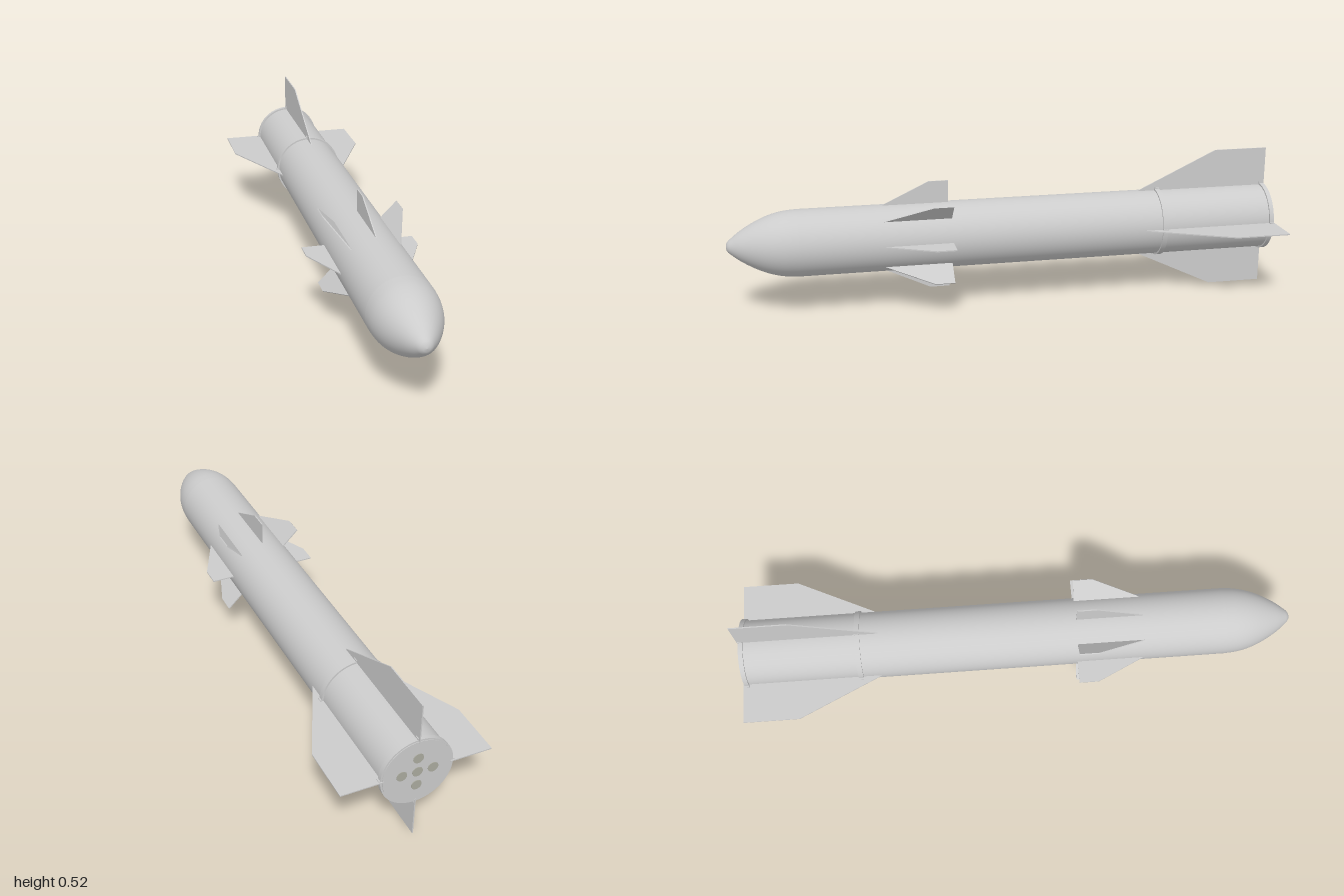
import * as THREE from 'three';

const material = new THREE.MeshStandardMaterial({ color: 0xcccccc });
const nozzleMaterial = new THREE.MeshStandardMaterial({ color: 0xaaaa9e });

const CENTRE_Y = 0.263;
const RADIUS = 0.12;

function addMesh(parent, name, geometry, mat = material) {
  const mesh = new THREE.Mesh(geometry, mat);
  mesh.name = name;
  parent.add(mesh);
  return mesh;
}

// Cylinder lying along z between two stations
function barrel(radius, zBack, zFront) {
  return new THREE.CylinderGeometry(radius, radius, zFront - zBack, 64)
    .rotateX(Math.PI / 2)
    .translate(0, 0, (zBack + zFront) / 2);
}

// Flat fin standing up from the axis; outline points are [z, radius]
function finGeometry(outline, thickness) {
  const shape = new THREE.Shape(outline.map(([z, r]) => new THREE.Vector2(-z, r)));
  return new THREE.ExtrudeGeometry(shape, { depth: thickness, bevelEnabled: false })
    .translate(0, 0, -thickness / 2)
    .rotateY(Math.PI / 2);
}

// Repeat a geometry evenly around the long axis
function addAround(parent, name, geometry, count) {
  for (let i = 0; i < count; i++) {
    addMesh(parent, name, geometry).rotation.z = (i * 2 * Math.PI) / count;
  }
}

export function createModel() {
  const model = new THREE.Group();
  model.name = 'missile';
  const hull = new THREE.Group();
  hull.name = 'hull';
  hull.position.y = CENTRE_Y;
  model.add(hull);

  // Main tube
  addMesh(hull, 'body', barrel(RADIUS, -0.998, 0.75));

  // Curved nose with a small blunt tip
  const noseCurve = new THREE.SplineCurve([
    [0.12, 0.75], [0.116, 0.8], [0.104, 0.85], [0.083, 0.9], [0.054, 0.95], [0.027, 0.985],
  ].map(([r, z]) => new THREE.Vector2(r, z)));
  const profile = [
    ...noseCurve.getPoints(24),
    new THREE.Vector2(0.021, 0.992),
    new THREE.Vector2(0.012, 0.998),
    new THREE.Vector2(0, 1),
  ];
  addMesh(hull, 'nose', new THREE.LatheGeometry(profile, 64).rotateX(Math.PI / 2));

  // Eight forward fins
  const canard = finGeometry([[0.45, 0.115], [0.45, 0.12], [0.28, 0.2], [0.21, 0.2], [0.21, 0.115]], 0.004);
  addAround(hull, 'forwardFin', canard, 8);

  // Four large tail fins
  const tailFin = finGeometry([[-0.5, 0.115], [-0.5, 0.12], [-0.8, 0.262], [-1, 0.262], [-1, 0.115]], 0.004);
  addAround(hull, 'tailFin', tailFin, 4);

  // Clamp rings, each with a lug at every tail fin
  for (const [zBack, zFront] of [[-0.584, -0.566], [-0.996, -0.98]]) {
    addMesh(hull, 'clampRing', barrel(0.126, zBack, zFront));
    const lug = new THREE.BoxGeometry(0.01, 0.014, zFront - zBack)
      .translate(0, 0.124, (zBack + zFront) / 2);
    addAround(hull, 'finLug', lug, 4);
  }

  // Five exhaust ports on the rear face
  const port = new THREE.CylinderGeometry(0.018, 0.018, 0.004, 32).rotateX(Math.PI / 2);
  for (const [x, y] of [[0, 0], [0.054, 0], [-0.054, 0], [0, 0.054], [0, -0.054]]) {
    addMesh(hull, 'exhaustPort', port, nozzleMaterial).position.set(x, y, -0.998);
  }

  return model;
}
